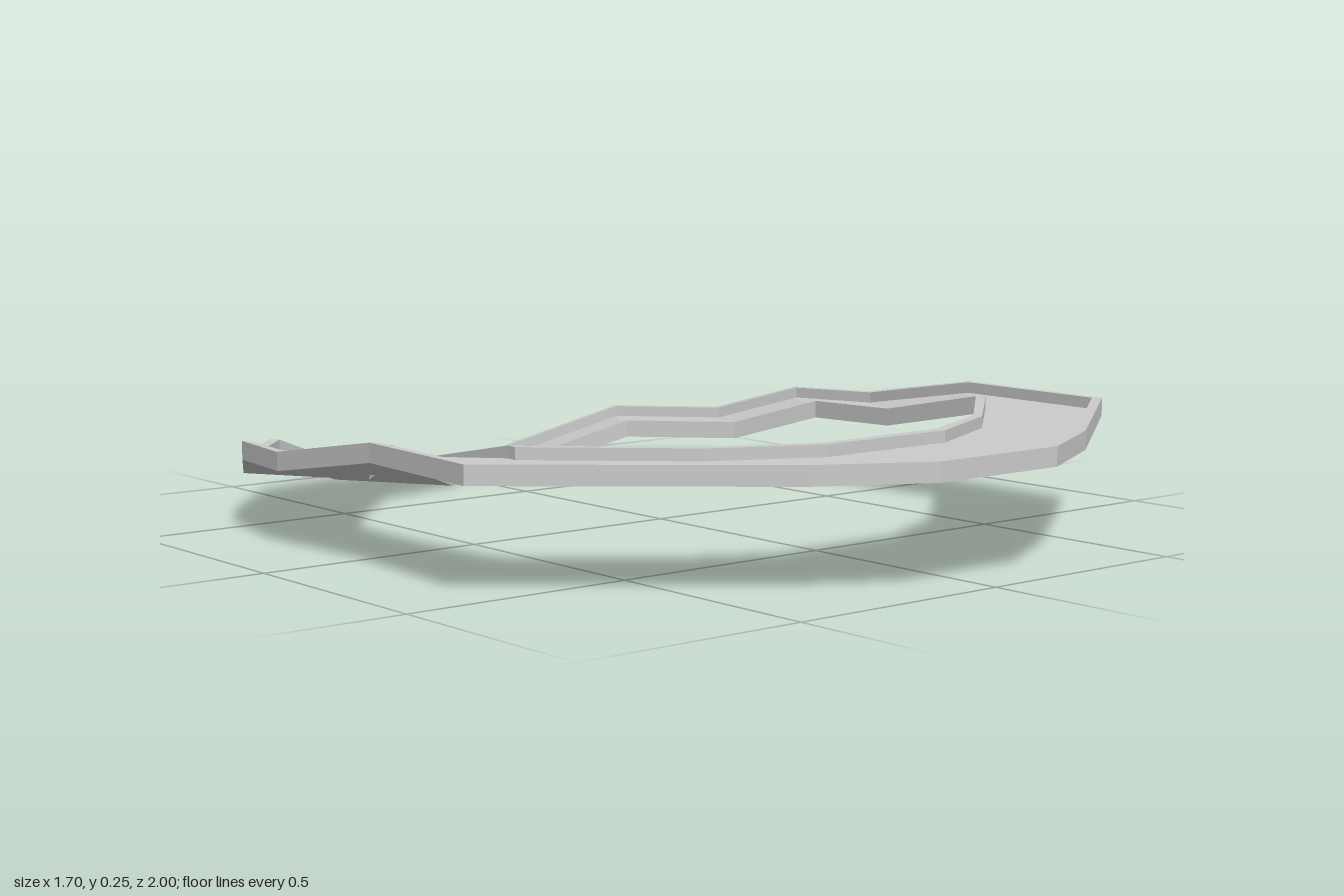
import * as THREE from 'three';

const DECK = 0.015;     // deck thickness
const WALL = 0.04;      // parapet top above the deck underside
const EDGE = 0.08;      // parapet width as a share of the deck width

// Stations from the back end to the front: outer x, outer z, inner x, inner z, underside y
const tip = [0, -1, 0, -0.74, 0];
const right = [
  [0.26, -0.94, 0.09, -0.68, 0],
  [0.515, -0.81, 0.345, -0.55, 0.095],
  [0.695, -0.62, 0.53, -0.36, 0.095],
  [0.8, -0.44, 0.635, -0.185, 0.155],
  [0.845, -0.22, 0.635, 0.06, 0.16],
  [0.84, 0.12, 0.635, 0.34, 0.215],
  [0.83, 0.54, 0.635, 0.34, 0.215],
  [0.385, 0.88, 0.385, 0.57, 0.215],
  [0.165, 1.0, 0.165, 0.675, 0.215],
];
// The other side is mirrored, apart from its slightly different front corner
const left = right.map(([ox, oz, ix, iz, y]) => [0.01 - ox, oz, 0.005 - ix, iz, y]).reverse();
left[2][0] = -0.855;
left[2][1] = 0.475;

// Four-corner cross-section between two shares of the deck width and two heights
function section([ox, oz, ix, iz, y], t0, t1, y0, y1) {
  const at = (t, h) => [ox + (ix - ox) * t, y + h, oz + (iz - oz) * t];
  return [at(t0, y0), at(t0, y1), at(t1, y1), at(t1, y0)];
}

// Join cross-sections into a faceted solid, either a closed loop or capped at both ends
function loft(name, sections, closed) {
  const pos = [];
  const tri = (...pts) => pts.forEach((p) => pos.push(...p));
  const n = sections.length;
  for (let i = 0; i < (closed ? n : n - 1); i++) {
    const a = sections[i], b = sections[(i + 1) % n];
    for (let k = 0; k < 4; k++) {
      const m = (k + 1) % 4;
      tri(a[k], a[m], b[k]);
      tri(a[m], b[m], b[k]);
    }
  }
  if (!closed) {
    const s = sections[0], e = sections[n - 1];
    tri(s[0], s[2], s[1]);
    tri(s[0], s[3], s[2]);
    tri(e[0], e[1], e[2]);
    tri(e[0], e[2], e[3]);
  }
  const geo = new THREE.BufferGeometry();
  geo.setAttribute('position', new THREE.Float32BufferAttribute(pos, 3));
  geo.computeVertexNormals();
  const mesh = new THREE.Mesh(geo, new THREE.MeshStandardMaterial({ color: 0xcccccc, flatShading: true }));
  mesh.name = name;
  return mesh;
}

export function createModel() {
  const group = new THREE.Group();
  group.name = 'ringWalkway';
  const sides = [...right, ...left];

  // Walkway deck, stepping down to the pointed back end
  group.add(loft('deck', [tip, ...sides].map((s) => section(s, 0, 1, 0, DECK)), true));

  // Low parapets along both edges, open at the back
  group.add(loft('outerParapet', sides.map((s) => section(s, 0, EDGE, DECK, WALL)), false));
  group.add(loft('innerParapet', sides.map((s) => section(s, 1 - EDGE, 1, DECK, WALL)), false));
  return group;
}
